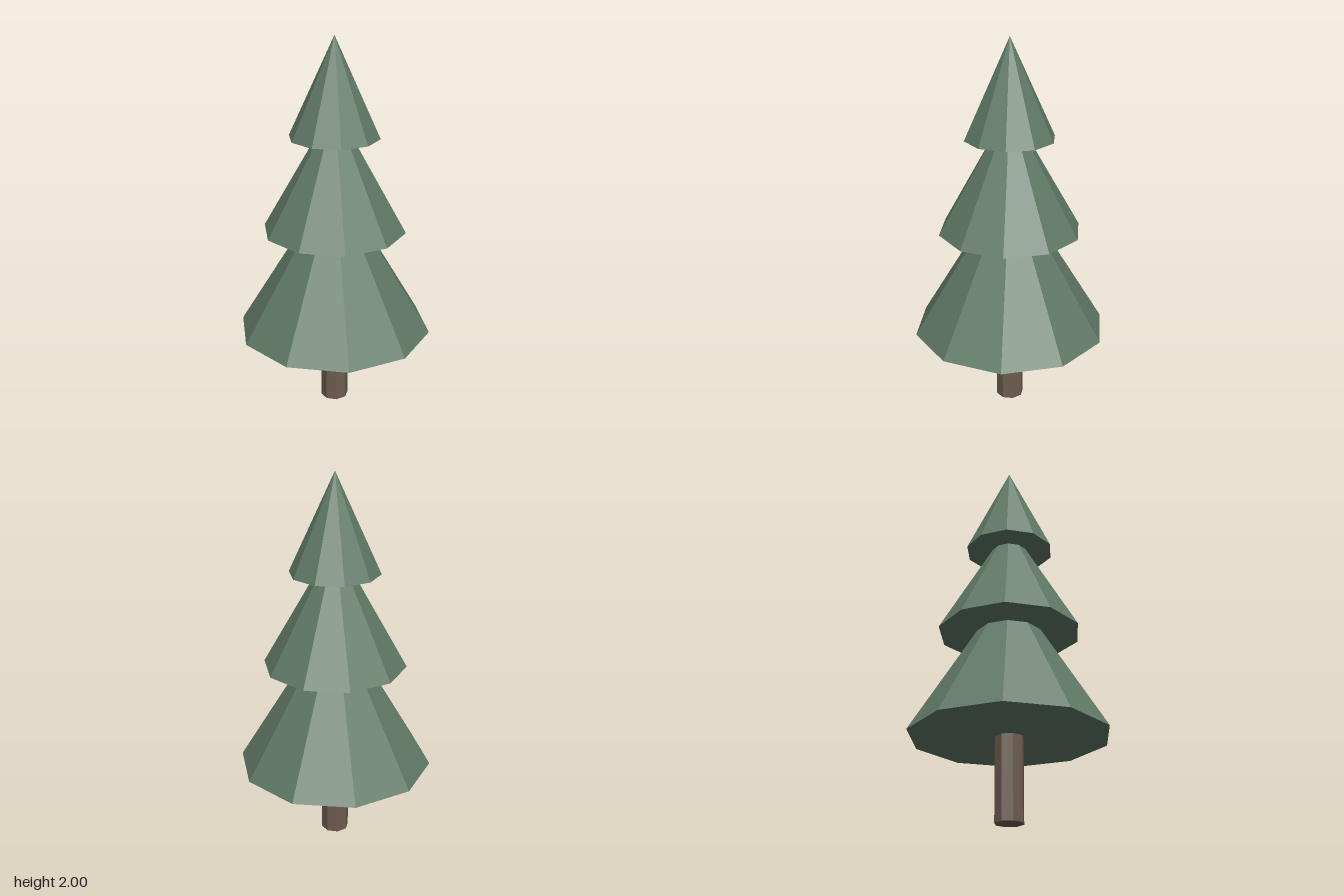
import * as THREE from 'three';

export function createModel() {
  const tree = new THREE.Group();
  tree.name = 'pineTree';
  const green = new THREE.MeshStandardMaterial({ color: 0x617a67, flatShading: true });
  const brown = new THREE.MeshStandardMaterial({ color: 0x6d5c4f, flatShading: true });

  // Eight-sided trunk, its top hidden inside the lowest tier
  const trunkHeight = 0.5;
  const trunk = new THREE.Mesh(new THREE.CylinderGeometry(0.074, 0.074, trunkHeight, 8), brown);
  trunk.name = 'trunk';
  trunk.position.y = trunkHeight / 2;
  tree.add(trunk);

  // Three overlapping ten-sided cones of foliage
  const tiers = [
    { name: 'lowerFoliage', radius: 0.515, base: 0.43, height: 0.85 },
    { name: 'middleFoliage', radius: 0.375, base: 0.995, height: 0.66 },
    { name: 'upperFoliage', radius: 0.235, base: 1.49, height: 0.51 },
  ];
  for (const { name, radius, base, height } of tiers) {
    const tier = new THREE.Mesh(new THREE.ConeGeometry(radius, height, 10), green);
    tier.name = name;
    tier.position.y = base + height / 2;
    tree.add(tier);
  }
  return tree;
}
